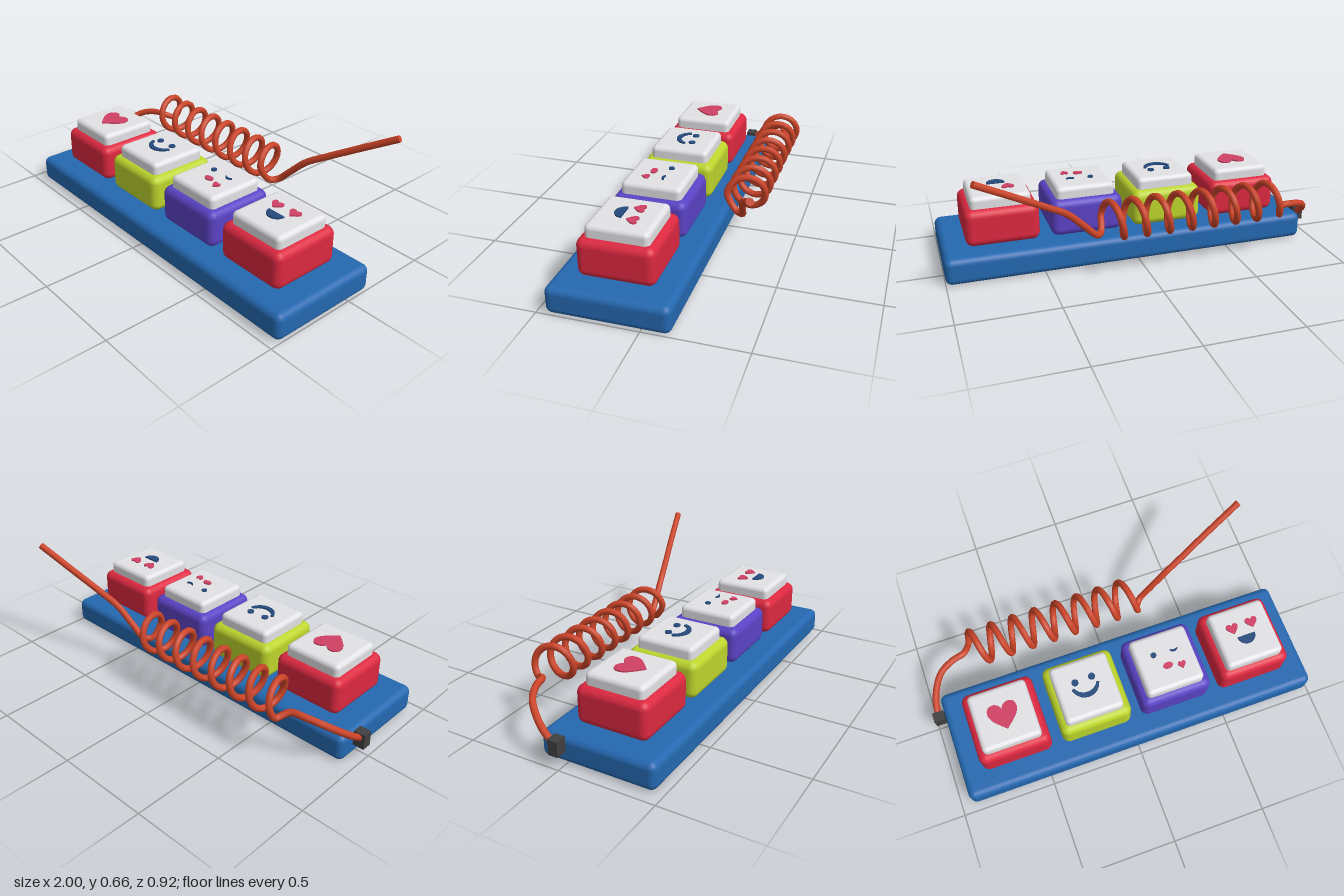
import * as THREE from 'three';
import { RoundedBoxGeometry } from 'three/addons/geometries/RoundedBoxGeometry.js';

const mat = (color) => new THREE.MeshStandardMaterial({ color });
const RED = mat(0xdc2840), LIME = mat(0xbcd42c), PURPLE = mat(0x5a42c4), WHITE = mat(0xe2e2e6);
const BLUE = mat(0x2468b0), WIRE = mat(0xcc4428), DARK = mat(0x404040), NAVY = mat(0x244a7c), PINK = mat(0xd04064);

const KEY_Z = 0.16, CAP_TOP = 0.396;

function add(parent, name, geometry, material, x = 0, y = 0, z = 0) {
  const mesh = new THREE.Mesh(geometry, material);
  mesh.name = name;
  mesh.position.set(x, y, z);
  parent.add(mesh);
  return mesh;
}

// Flat symbol shapes, drawn in the plane of a keycap top
function heart(u, v, w, h) {
  const s = new THREE.Shape(), a = w / 2, t = h / 2;
  s.moveTo(u, v - t);
  s.bezierCurveTo(u + a * 0.35, v - t * 0.6, u + a, v - t * 0.1, u + a, v + t * 0.45);
  s.bezierCurveTo(u + a, v + t * 1.15, u + a * 0.2, v + t * 1.2, u, v + t * 0.55);
  s.bezierCurveTo(u - a * 0.2, v + t * 1.2, u - a, v + t * 1.15, u - a, v + t * 0.45);
  s.bezierCurveTo(u - a, v - t * 0.1, u - a * 0.35, v - t * 0.6, u, v - t);
  return s;
}

function oval(u, v, rx, ry = rx) {
  const s = new THREE.Shape();
  s.absellipse(u, v, rx, ry, 0, Math.PI * 2);
  return s;
}

// Crescent; positive depth curves down like a smile
function crescent(u, v, half, depth, thick) {
  const s = new THREE.Shape();
  s.moveTo(u - half, v);
  s.bezierCurveTo(u - half * 0.7, v - depth * 1.33, u + half * 0.7, v - depth * 1.33, u + half, v);
  s.lineTo(u + half * 0.82, v + thick * 0.25);
  const inner = (depth - thick) * 1.33;
  s.bezierCurveTo(u + half * 0.5, v - inner, u - half * 0.5, v - inner, u - half * 0.82, v + thick * 0.25);
  s.closePath();
  return s;
}

// Open laughing mouth
function halfDisc(u, v, rx, ry) {
  const s = new THREE.Shape();
  s.moveTo(u - rx, v);
  s.absellipse(u, v, rx, ry, Math.PI, Math.PI * 2);
  s.closePath();
  return s;
}

const KEYS = [
  { name: 'heartKey', x: -0.63, body: RED, marks: [['heart', heart(0, -0.008, 0.155, 0.14), PINK]] },
  { name: 'smileKey', x: -0.192, body: LIME, marks: [
    ['leftEye', oval(0.046, 0.041, 0.018), NAVY],
    ['rightEye', oval(-0.046, 0.036, 0.018), NAVY],
    ['mouth', crescent(0, 0.002, 0.074, 0.06, 0.025), NAVY]] },
  { name: 'winkKey', x: 0.247, body: PURPLE, marks: [
    ['eye', oval(-0.055, 0.04, 0.015), NAVY],
    ['wink', crescent(0.056, 0.04, 0.022, 0.014, 0.01), NAVY],
    ['mouth', oval(-0.004, -0.036, 0.026, 0.017), PINK],
    ['smallHeart', heart(0.067, -0.056, 0.04, 0.04), PINK]] },
  { name: 'heartEyesKey', x: 0.687, body: RED, marks: [
    ['leftHeartEye', heart(0.054, 0.04, 0.064, 0.056), PINK],
    ['rightHeartEye', heart(-0.054, 0.036, 0.064, 0.056), PINK],
    ['mouth', halfDisc(0, -0.016, 0.048, 0.048), NAVY]] },
];

function makeKey({ name, x, body, marks }) {
  const key = new THREE.Group();
  key.name = name;
  key.position.set(x, 0, KEY_Z);
  add(key, 'keyBody', new RoundedBoxGeometry(0.38, 0.195, 0.38, 4, 0.04), body, 0, 0.2375, 0);
  add(key, 'keyCap', new RoundedBoxGeometry(0.31, 0.096, 0.31, 4, 0.025), WHITE, 0, CAP_TOP - 0.048, 0);
  for (const [label, shape, material] of marks) {
    const geo = new THREE.ExtrudeGeometry(shape, { depth: 0.011, bevelEnabled: false, curveSegments: 10 });
    add(key, label, geo.rotateX(-Math.PI / 2), material, 0, CAP_TOP - 0.004, 0);
  }
  return key;
}

function makeCable() {
  const cable = new THREE.Group();
  cable.name = 'cable';
  const V = (x, y, z) => new THREE.Vector3(x, y, z);
  // Lead from the plug
  const points = [
    V(-0.97, 0.11, -0.03), V(-0.965, 0.145, -0.085), V(-0.935, 0.195, -0.155),
    V(-0.88, 0.243, -0.22), V(-0.8, 0.266, -0.258), V(-0.735, 0.268, -0.276),
  ];
  // Coil along x
  const R = 0.0905, turns = 7.75, steps = 16;
  for (let i = -2; i <= turns * steps - 4; i++) {
    const t = (i / steps) * Math.PI * 2;
    points.push(V(-0.68 + 0.12 * i / steps, 0.31 + R * Math.sin(t), -0.27 - R * Math.cos(t)));
  }
  // Free end
  points.push(V(0.235, 0.235, -0.23), V(0.265, 0.238, -0.268), V(0.33, 0.3, -0.285), V(0.42, 0.385, -0.305),
    V(0.52, 0.445, -0.335), V(0.66, 0.525, -0.38), V(0.865, 0.64, -0.443));
  const curve = new THREE.CatmullRomCurve3(points);
  curve.arcLengthDivisions = 1500;
  add(cable, 'coiledWire', new THREE.TubeGeometry(curve, 420, 0.0175, 8), WIRE);
  const tip = add(cable, 'wireTip', new THREE.CircleGeometry(0.0175, 8), WIRE);
  tip.position.copy(curve.getPointAt(1));
  tip.lookAt(tip.position.clone().add(curve.getTangentAt(1)));
  return cable;
}

export function createModel() {
  const model = new THREE.Group();
  model.name = 'keypad';
  add(model, 'base', new RoundedBoxGeometry(1.94, 0.14, 0.6, 4, 0.035), BLUE, 0.03, 0.07, 0.16);
  KEYS.forEach((k) => model.add(makeKey(k)));
  add(model, 'plug', new THREE.BoxGeometry(0.06, 0.08, 0.052), DARK, -0.97, 0.106, -0.025);
  model.add(makeCable());
  return model;
}
